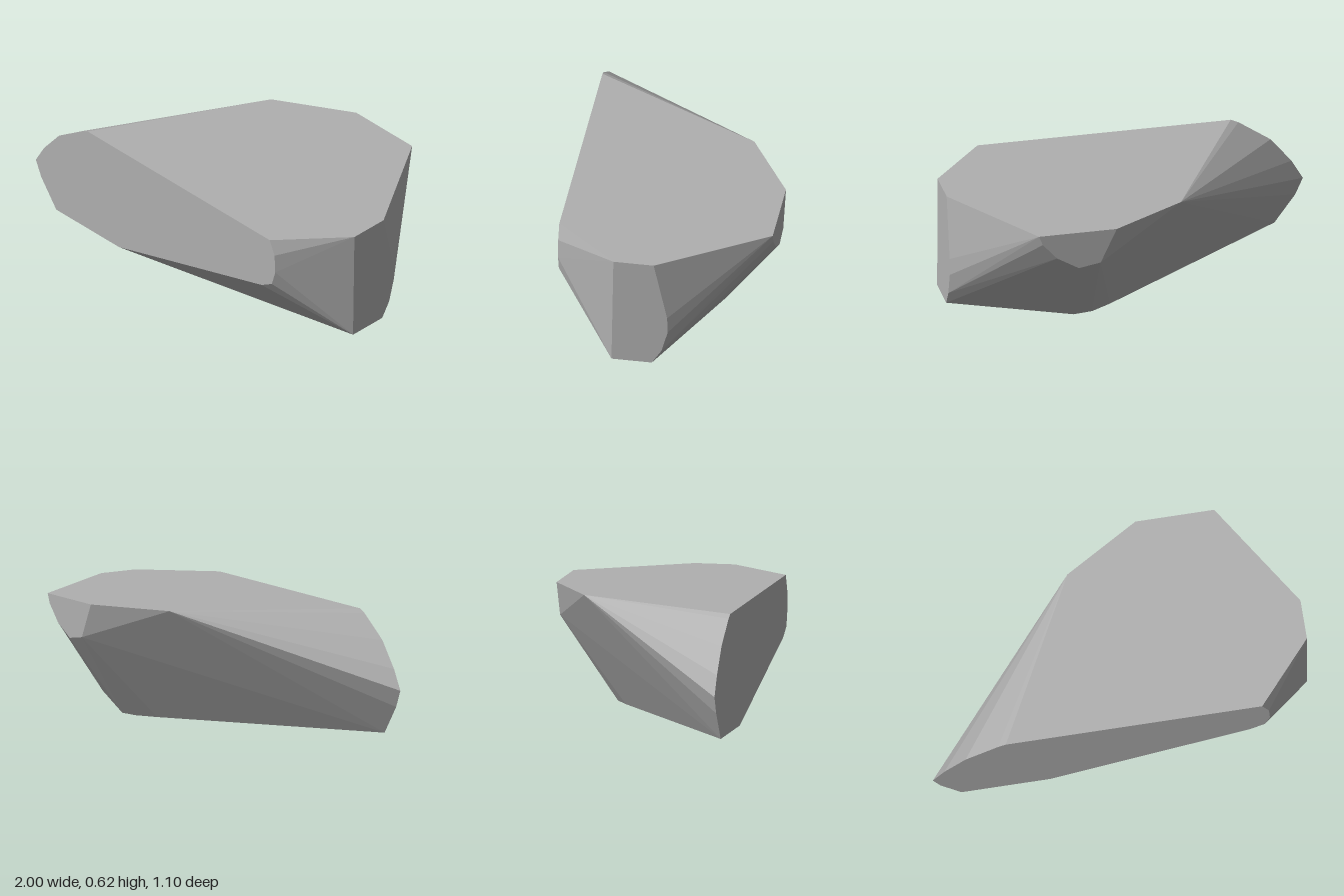
import * as THREE from 'three';
import { ConvexGeometry } from 'three/addons/geometries/ConvexGeometry.js';

// Half extents of the block the boulder is cut from
const X = 1, Z = 0.55, H = 0.615;

export function createModel() {
  const group = new THREE.Group();
  group.name = 'boulder';
  const stone = new THREE.MeshStandardMaterial({ color: 0xb0b0b0 });
  stone.name = 'grey stone';

  const points = [];
  const addOutline = (outline, place) =>
    outline.forEach(([a, b]) => points.push(new THREE.Vector3(...place(a, b))));

  // Large front facet (x, y)
  addOutline([
    [-0.62, H], [0.715, H], [0.75, 0.535], [0.755, 0.43], [0.73, 0.345], [0.655, 0.3],
    [-0.39, 0], [-0.85, 0], [-0.96, 0.15], [-1, 0.24], [-0.94, 0.345], [-0.83, 0.48], [-0.66, 0.597],
  ], (x, y) => [x, y, Z]);

  // Curved-edge facet on the left side (z, y)
  addOutline([
    [0.22, H], [0.01, H], [-0.06, 0.29], [-0.063, 0.2], [-0.03, 0.08], [0.02, 0], [0.23, 0],
  ], (z, y) => [X, y, z]);

  // Small back facet (x, y)
  addOutline([
    [0.64, H], [0.23, H], [0.315, 0.432], [0.43, 0.412], [0.545, 0.48], [0.62, 0.565],
  ], (x, y) => [x, y, -Z]);

  // Rear corner of the top and rear edge of the base (x, z)
  addOutline([[-0.16, -0.32]], (x, z) => [x, H, z]);
  addOutline([[0.39, -0.255], [0.29, -0.24], [0.18, -0.175]], (x, z) => [x, 0, z]);

  const rock = new THREE.Mesh(new ConvexGeometry(points), stone);
  rock.name = 'rock';
  group.add(rock);
  return group;
}
